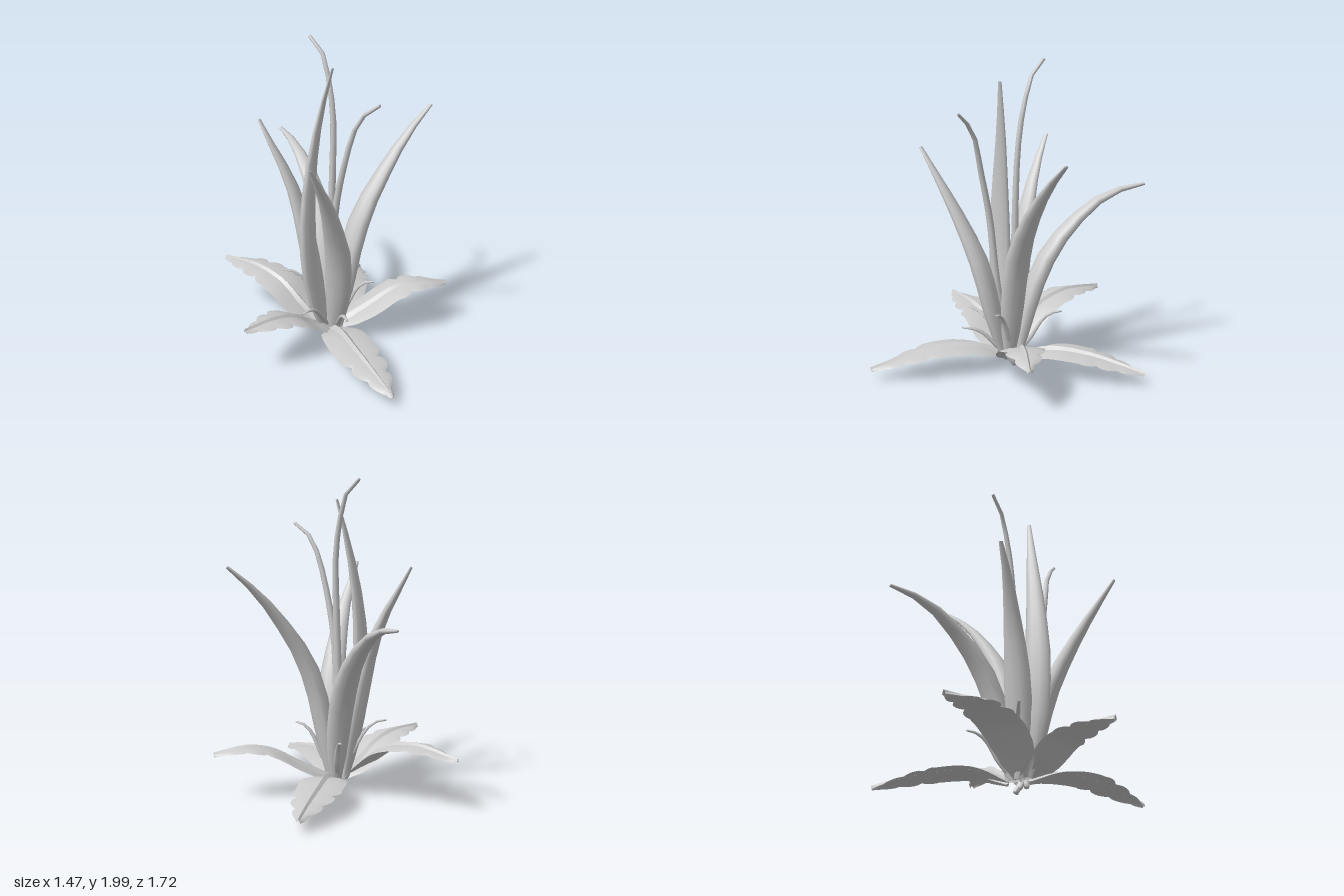
import * as THREE from 'three';

const material = new THREE.MeshStandardMaterial({ color: 0xcccccc, side: THREE.DoubleSide });

// Linear interpolation through evenly spaced values
function profile(values, t) {
  const f = t * (values.length - 1);
  const i = Math.min(Math.floor(f), values.length - 2);
  return THREE.MathUtils.lerp(values[i], values[i + 1], f - i);
}

// Sweeps a cross-section along a path; section(t, row) gives [across, up] pairs
function loft(name, points, steps, section, closed) {
  const curve = new THREE.CatmullRomCurve3(points.map(p => new THREE.Vector3(...p)));
  const heading = curve.getPoint(1).sub(curve.getPoint(0));
  const side = new THREE.Vector3(heading.z, 0, -heading.x).normalize();
  const positions = [], index = [];
  let cols = 0;
  for (let i = 0; i <= steps; i++) {
    const t = i / steps;
    const center = curve.getPointAt(t);
    const up = curve.getTangentAt(t).cross(side).normalize();
    const ring = section(t, i);
    cols = ring.length;
    for (const [s, n] of ring) {
      const v = center.clone().addScaledVector(side, s).addScaledVector(up, n);
      positions.push(v.x, v.y, v.z);
    }
  }
  const spans = closed ? cols : cols - 1;
  for (let i = 0; i < steps; i++) {
    for (let j = 0; j < spans; j++) {
      const a = i * cols + j, b = i * cols + (j + 1) % cols;
      index.push(a, b, a + cols, b, b + cols, a + cols);
    }
  }
  // Blunt cap at the tip of closed shapes
  if (closed) {
    const end = steps * cols;
    for (let j = 1; j < cols - 1; j++) index.push(end, end + j, end + j + 1);
  }
  const geometry = new THREE.BufferGeometry();
  geometry.setAttribute('position', new THREE.Float32BufferAttribute(positions, 3));
  geometry.setIndex(index);
  geometry.computeVertexNormals();
  const mesh = new THREE.Mesh(geometry, material);
  mesh.name = name;
  return mesh;
}

// Closed oval tube whose half-width follows a profile
function blade(name, points, widths, flatness, steps, sides) {
  return loft(name, points, steps, t => {
    const r = profile(widths, t);
    return Array.from({ length: sides }, (_, j) => {
      const a = j / sides * Math.PI * 2;
      return [Math.cos(a) * r, Math.sin(a) * r * flatness];
    });
  }, true);
}

// Broad arching leaf with a ragged outer half and a raised midrib on top
function broadLeaf(points) {
  const widths = [0.05, 0.115, 0.14, 0.148, 0.142, 0.128, 0.104, 0.065, 0.012];
  const teeth = [1, 1.08, 1.08, 1, 0.8];
  const leaf = new THREE.Group();
  leaf.name = 'broadLeaf';
  leaf.add(loft('leafSurface', points, 32, (t, row) => {
    const w = profile(widths, t);
    const edge = shift => w * (t > 0.5 && t < 0.97 ? teeth[(row + shift) % 5] : 1);
    return [[-edge(3), -0.022], [-w * 0.6, -0.008], [0, -0.004], [w * 0.6, -0.008], [edge(0), -0.022]];
  }, false));
  // Two separate slopes keep the ridge line crisp
  for (const s of [-1, 1]) {
    leaf.add(loft('midribSlope', points, 16, (t, row) => {
      const g = 0.032 * (1 - 0.75 * t) * (row % 2 ? 0.85 : 1);
      return [[s * g, -0.005], [0, 0.018 * (1 - 0.6 * t)]];
    }, false));
  }
  return leaf;
}

export function createModel() {
  const plant = new THREE.Group();
  plant.name = 'plant';

  // Spreading leaves around the foot
  const leaves = [
    [[0.03, 0.1, -0.02], [0.2, 0.17, -0.13], [0.4, 0.165, -0.27], [0.6, 0.125, -0.39], [0.73, 0.09, -0.47]],
    [[0.02, 0.1, 0.02], [0.2, 0.21, 0.12], [0.36, 0.31, 0.21], [0.5, 0.335, 0.29], [0.67, 0.3, 0.39]],
    [[-0.05, 0.1, 0.03], [-0.13, 0.165, 0.2], [-0.23, 0.18, 0.42], [-0.3, 0.14, 0.65], [-0.36, 0.09, 0.86]],
    [[-0.05, 0.1, 0.01], [-0.2, 0.18, 0], [-0.35, 0.28, -0.01], [-0.52, 0.325, -0.01], [-0.74, 0.33, -0.02]],
    [[-0.08, 0.1, -0.02], [-0.13, 0.23, -0.16], [-0.15, 0.34, -0.32], [-0.17, 0.385, -0.55], [-0.19, 0.35, -0.86]],
  ];
  leaves.forEach(p => plant.add(broadLeaf(p)));

  // Thick upright blades: path and flatness
  const thick = [0.035, 0.074, 0.085, 0.084, 0.068, 0.05, 0.03, 0.013];
  const blades = [
    [[[-0.05, 0.09, 0.05], [-0.08, 0.4, 0.12], [-0.13, 0.68, 0.17], [-0.22, 0.9, 0.22], [-0.34, 1.13, 0.28], [-0.53, 1.42, 0.35]], 0.7],
    [[[-0.09, 0.09, 0], [-0.17, 0.4, -0.02], [-0.2, 0.8, -0.03], [-0.18, 1.2, -0.02], [-0.13, 1.55, 0.01], [-0.07, 1.86, 0.06]], 0.45],
    [[[0, 0.09, 0.04], [0.045, 0.4, 0.055], [0.11, 0.7, 0.07], [0.2, 0.91, 0.09], [0.36, 1.14, 0.12], [0.52, 1.32, 0.14], [0.71, 1.48, 0.17]], 0.7],
    [[[0.01, 0.09, -0.02], [0.04, 0.4, -0.07], [0.08, 0.7, -0.17], [0.14, 0.93, -0.33], [0.22, 1.12, -0.58], [0.3, 1.17, -0.82]], 0.7],
    [[[-0.06, 0.09, -0.03], [-0.1, 0.5, -0.09], [-0.13, 0.85, -0.16], [-0.16, 1.1, -0.24], [-0.2, 1.28, -0.33], [-0.23, 1.46, -0.43]], 0.6],
  ];
  blades.forEach(([path, flatness]) => plant.add(blade('uprightBlade', path, thick, flatness, 9, 10)));

  // Slender stems bending over at the top
  const slim = [0.025, 0.028, 0.025, 0.022, 0.018, 0.011];
  const stems = [
    [[-0.04, 0.08, 0.02], [-0.09, 0.6, 0.08], [-0.1, 1, 0.12], [-0.09, 1.35, 0.2], [-0.07, 1.53, 0.25], [-0.05, 1.66, 0.34], [-0.02, 1.7, 0.4]],
    [[-0.03, 0.08, 0], [-0.02, 0.6, -0.01], [0, 1.2, -0.01], [0.015, 1.5, -0.02], [0.02, 1.73, -0.06], [0.02, 1.92, -0.13], [0.01, 1.99, -0.22]],
  ];
  stems.forEach(path => plant.add(blade('slenderStem', path, slim, 0.9, 14, 8)));

  // Short curling shoots between the leaves
  const tips = [[0.12, 0.44, 0.24], [0.18, 0.39, -0.24], [-0.22, 0.48, -0.24], [-0.37, 0.34, 0.1], [-0.17, 0.29, 0.29]];
  for (const [x, y, z] of tips) {
    plant.add(blade('curlingShoot', [
      [x * 0.1 - 0.02, 0.1, z * 0.1], [x * 0.35, y * 0.55, z * 0.35], [x * 0.58, y * 0.84, z * 0.58],
      [x * 0.76, y * 0.96, z * 0.76], [x, y, z],
    ], [0.018, 0.022, 0.018, 0.009], 0.6, 8, 6));
  }

  // Slanted root ends below the crown
  const roots = [[-0.02, 0.015, -0.02, 0.02], [-0.08, 0.045, 0.01, 0.018], [-0.045, 0.04, -0.01, 0.016]];
  for (const [x, y, z, r] of roots) {
    plant.add(blade('rootEnd', [[-0.05, 0.13, 0.04], [x * 0.6 - 0.02, y * 0.5 + 0.06, z * 0.5 + 0.02], [x, y, z]], [r, r, r * 0.9], 1, 4, 8));
  }
  return plant;
}
